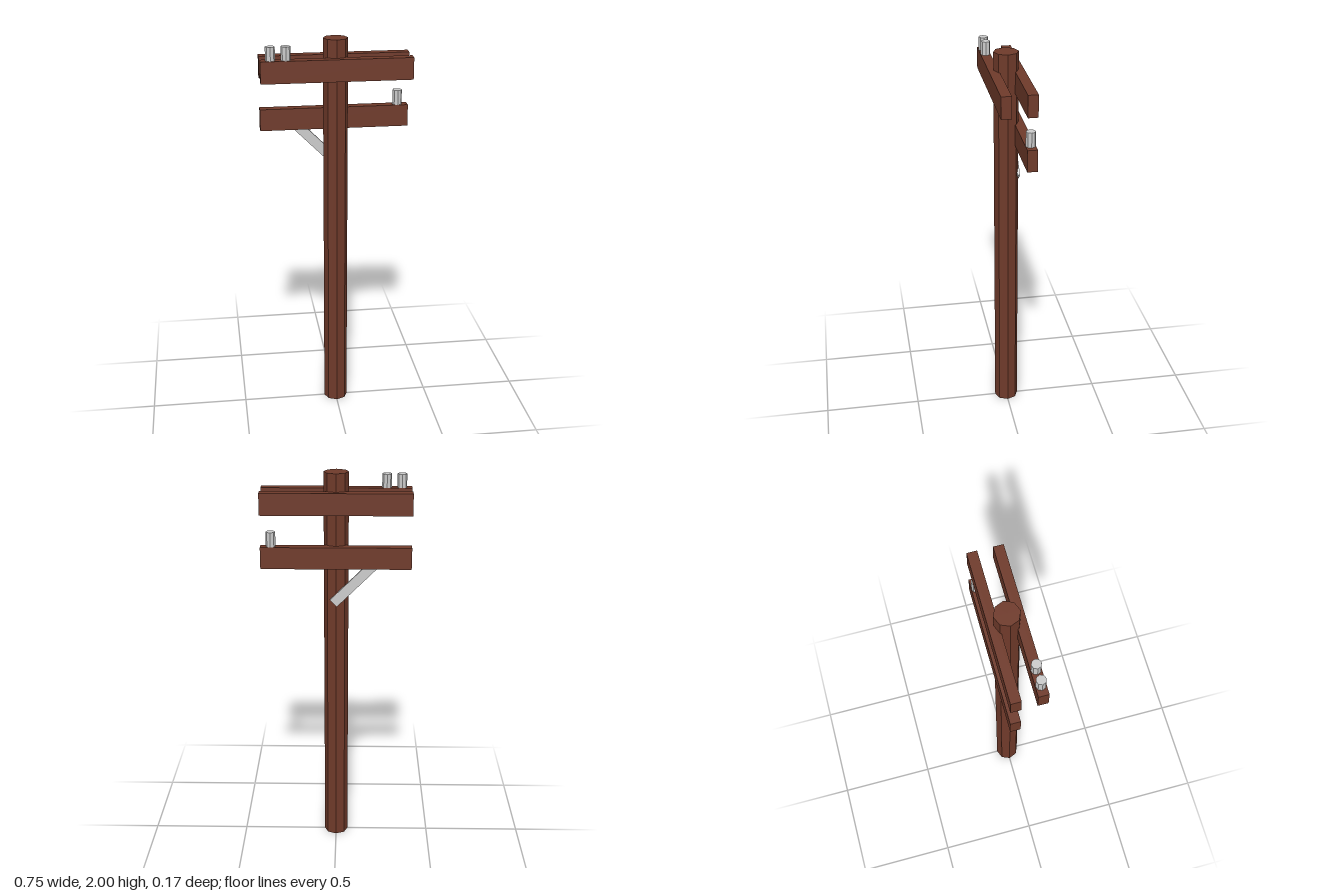
import * as THREE from 'three';

const wood = new THREE.MeshStandardMaterial({ color: 0x6f3a2a, flatShading: true });
const metal = new THREE.MeshStandardMaterial({ color: 0xcccccc, flatShading: true });

export function createModel() {
  const model = new THREE.Group();
  model.name = 'utilityPole';

  const add = (name, geometry, material, x, y, z) => {
    const mesh = new THREE.Mesh(geometry, material);
    mesh.name = name;
    mesh.position.set(x, y, z);
    model.add(mesh);
    return mesh;
  };

  // Octagonal pole with corners on the axes
  add('pole', new THREE.CylinderGeometry(0.062, 0.062, 2, 8), wood, 0, 1, 0);

  // Crossarms: a pair at the top, a single one lower at the back
  const arm = new THREE.BoxGeometry(0.75, 0.11, 0.05);
  add('upperFrontCrossarm', arm, wood, 0, 1.855, 0.062);
  add('upperBackCrossarm', arm, wood, 0, 1.855, -0.062);
  add('lowerCrossarm', arm, wood, 0, 1.585, -0.062);

  // Insulators standing on the crossarms
  const insulator = new THREE.CylinderGeometry(0.024, 0.024, 0.074, 8);
  add('outerInsulator', insulator, metal, -0.325, 1.941, 0.062);
  add('innerInsulator', insulator, metal, -0.25, 1.941, 0.062);
  add('lowerInsulator', insulator, metal, 0.323, 1.677, -0.062);

  // Flat diagonal brace from the lower crossarm to the back of the pole
  const start = new THREE.Vector2(-0.2, 1.558);
  const end = new THREE.Vector2(0.013, 1.345);
  const brace = add('brace', new THREE.BoxGeometry(start.distanceTo(end), 0.05, 0.013), metal,
    (start.x + end.x) / 2, (start.y + end.y) / 2, -0.06);
  brace.rotation.z = Math.atan2(end.y - start.y, end.x - start.x);

  return model;
}
